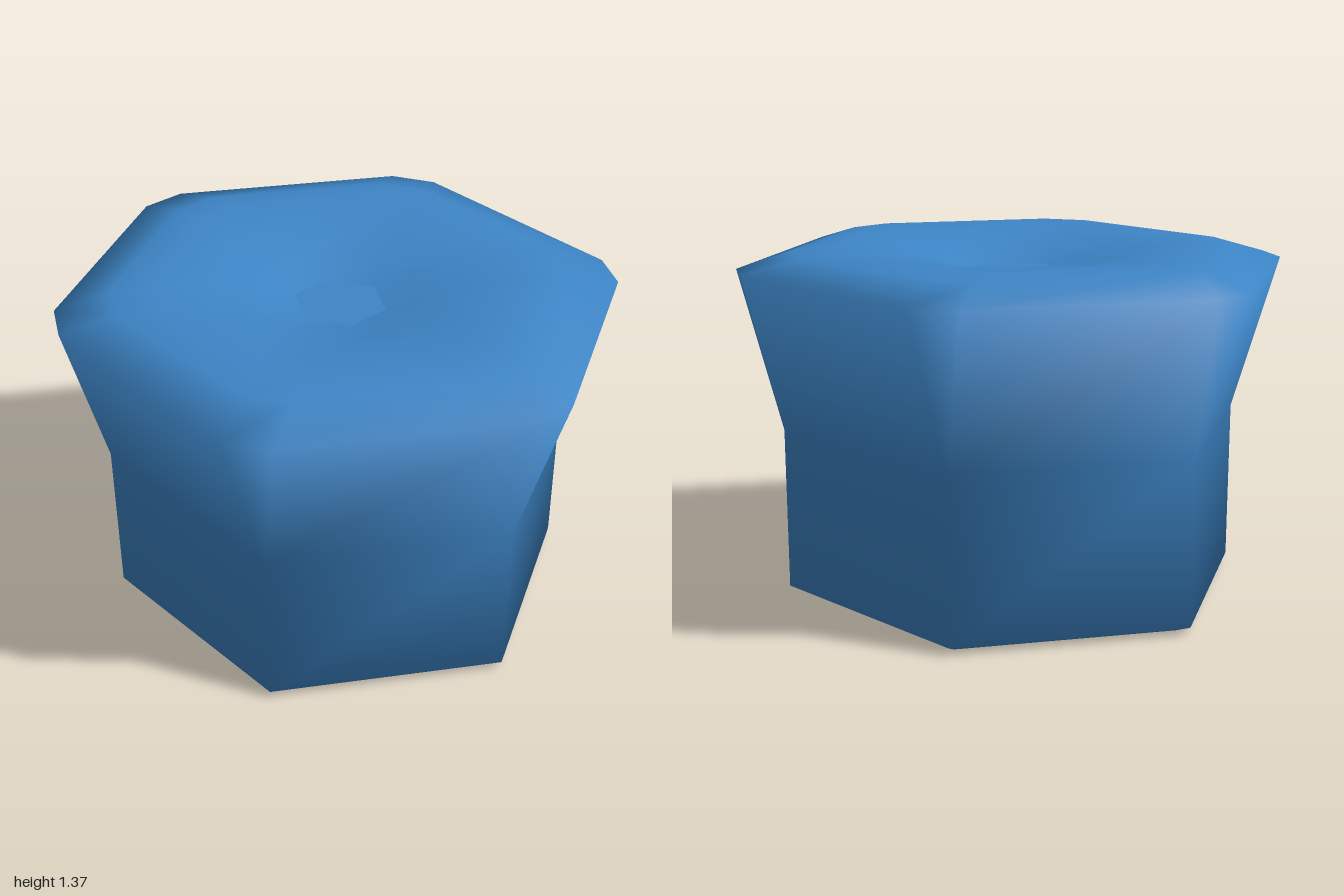
import * as THREE from 'three';

const STRETCH = 1.075; // the hexagon is slightly wider than deep
const CUT = 0.084;     // half width of the cut corners

// Hexagon ring with six corners at distance d, each cut to half width c.
function ring([d, y, c]) {
  const points = [];
  for (let k = 0; k < 6; k++) {
    const a = (k * Math.PI) / 3, s = Math.sin(a), t = Math.cos(a);
    for (const w of [-c, c]) {
      points.push(new THREE.Vector3((s * d + t * w) * STRETCH, y, t * d - s * w));
    }
  }
  return points;
}

// Skin a list of rings along the surface; every face counts equally in the smooth normals.
function skin(profile) {
  const rings = profile.map(ring), corners = [], normals = new Map();
  const key = (p) => p.toArray().map((v) => Math.round(v * 1e4)).join();
  const tri = (a, b, c) => {
    const n = b.clone().sub(a).cross(c.clone().sub(a));
    if (n.length() < 1e-5) return;
    n.normalize();
    for (const p of [a, b, c]) {
      corners.push(p);
      const k = key(p);
      if (!normals.has(k)) normals.set(k, new THREE.Vector3());
      normals.get(k).add(n);
    }
  };
  for (let r = 0; r < rings.length - 1; r++) {
    const A = rings[r], B = rings[r + 1];
    for (let i = 0; i < 12; i++) {
      const j = (i + 1) % 12;
      tri(A[i], A[j], B[j]);
      tri(A[i], B[j], B[i]);
    }
  }
  const g = new THREE.BufferGeometry().setFromPoints(corners);
  const n = corners.flatMap((p) => normals.get(key(p)).clone().normalize().toArray());
  g.setAttribute('normal', new THREE.Float32BufferAttribute(n, 3));
  return g;
}

export function createModel() {
  const group = new THREE.Group();
  group.name = 'hexagonalStool';
  // The body is a thin shell, open underneath
  const blue = new THREE.MeshStandardMaterial({ color: 0x3d85c6, side: THREE.DoubleSide });
  blue.name = 'blue';
  const add = (name, profile) => {
    const mesh = new THREE.Mesh(skin(profile), blue);
    mesh.name = name;
    group.add(mesh);
  };

  const inner = CUT * Math.sqrt(3); // where the long sides shrink to nothing

  // Turned-in foot, straight sides, flared head, rounded rim and dished top
  add('body', [
    [0.795, 0, 0],
    [0.86, 0.03, 0],
    [0.86, 0.67, 0],
    [1.0, 1.29, CUT],
    [0.8, 1.352, CUT],
    [0.68, 1.365, CUT],
    [0.45, 1.345, CUT],
    [0.27, 1.3, CUT],
    [inner, 1.265, CUT],
  ]);

  // Flat floor of the dish
  add('dishFloor', [[inner, 1.265, CUT], [0, 1.265, 0]]);

  return group;
}
